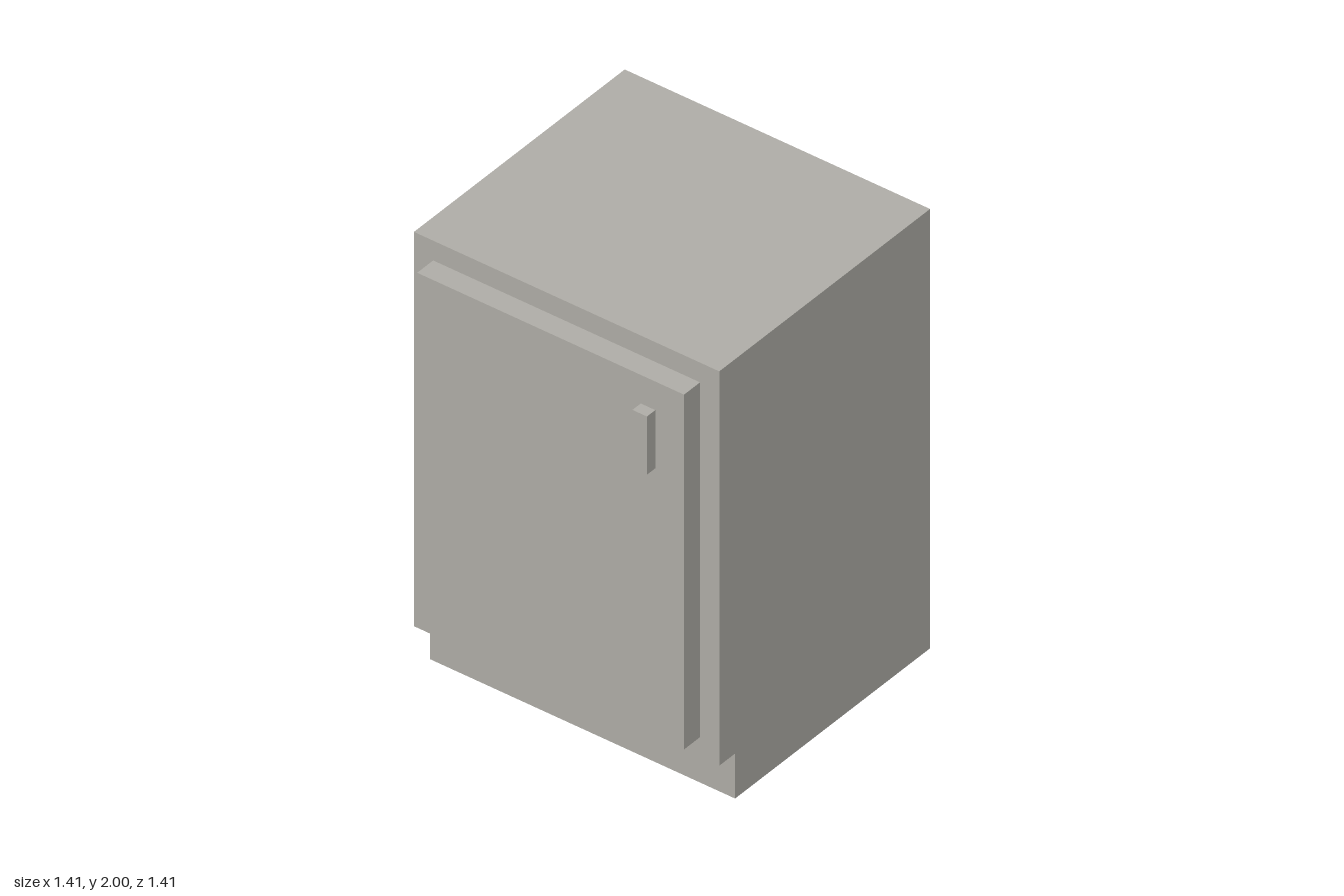
import * as THREE from 'three';

export function createModel() {
  const model = new THREE.Group();
  model.name = 'cabinet';

  const grey = new THREE.MeshStandardMaterial({ name: 'warm grey', color: 0xaeaca6 });
  const dark = new THREE.MeshStandardMaterial({ name: 'charcoal', color: 0x282828 });

  // Box given by its limits on each axis
  function box(name, [x0, x1], [y0, y1], [z0, z1]) {
    const mesh = new THREE.Mesh(new THREE.BoxGeometry(x1 - x0, y1 - y0, z1 - z0), grey);
    mesh.position.set((x0 + x1) / 2, (y0 + y1) / 2, (z0 + z1) / 2);
    mesh.name = name;
    model.add(mesh);
  }

  // Cabinet body: side profile with toe kick, extruded across the width
  const halfWidth = 0.706, back = -0.706, front = 0.56;
  const profile = new THREE.Shape([
    [-back, 0], [-back, 2], [-front, 2], [-front, 0.205], [-0.465, 0.205], [-0.465, 0],
  ].map(([x, y]) => new THREE.Vector2(x, y)));
  const bodyGeometry = new THREE.ExtrudeGeometry(profile, { depth: 2 * halfWidth, bevelEnabled: false });
  bodyGeometry.translate(0, 0, -halfWidth).rotateY(Math.PI / 2);
  const body = new THREE.Mesh(bodyGeometry, grey);
  body.name = 'body';
  model.add(body);

  // Door slab and its handle
  box('door', [-0.617, 0.617], [0.295, 1.91], [front, 0.656]);
  box('handle', [0.417, 0.484], [1.515, 1.78], [0.656, 0.706]);

  // Dark rear panel with slightly rounded corners
  const w = 0.447, y0 = 0.264, y1 = 1.11, r = 0.015;
  const outline = new THREE.Shape();
  outline.moveTo(-w + r, y0);
  outline.absarc(w - r, y0 + r, r, -Math.PI / 2, 0);
  outline.absarc(w - r, y1 - r, r, 0, Math.PI / 2);
  outline.absarc(-w + r, y1 - r, r, Math.PI / 2, Math.PI);
  outline.absarc(-w + r, y0 + r, r, Math.PI, Math.PI * 1.5);
  const panel = new THREE.Mesh(new THREE.ShapeGeometry(outline, 4), dark);
  panel.rotation.y = Math.PI;
  panel.position.z = back - 0.002;
  panel.name = 'rearPanel';
  model.add(panel);

  return model;
}
